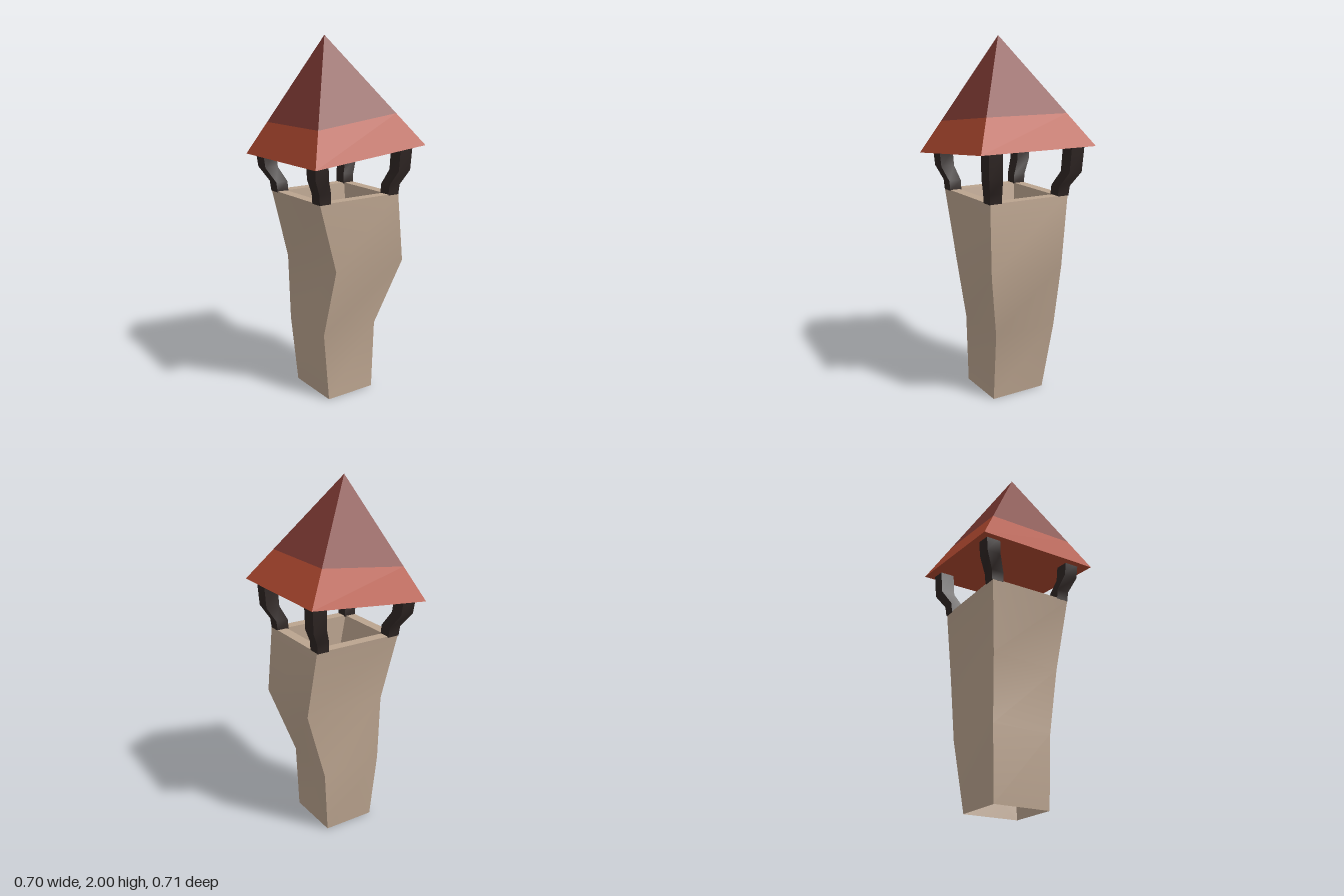
import * as THREE from 'three';

const mat = (name, color, side = THREE.FrontSide) => {
  const m = new THREE.MeshStandardMaterial({ color, side });
  m.name = name;
  return m;
};

// Joins four-cornered rings (front left, front right, back right, back left).
// Each side has its own vertices: smooth along the height, sharp at the corners.
function loft(rings, capStart = false, capEnd = false) {
  const pos = [], index = [];
  const quad = (a, b, c, d) => index.push(a, b, c, a, c, d);
  for (let s = 0; s < 4; s++) {
    const base = pos.length / 3;
    rings.forEach(r => pos.push(...r[s], ...r[(s + 1) % 4]));
    for (let i = 0; i < rings.length - 1; i++) {
      const k = base + i * 2;
      quad(k, k + 1, k + 3, k + 2);
    }
  }
  const cap = ring => {
    const k = pos.length / 3;
    ring.forEach(p => pos.push(...p));
    quad(k, k + 1, k + 2, k + 3);
  };
  if (capStart) cap([...rings[0]].reverse());
  if (capEnd) cap(rings[rings.length - 1]);
  const g = new THREE.BufferGeometry();
  g.setAttribute('position', new THREE.Float32BufferAttribute(pos, 3));
  g.setIndex(index);
  g.computeVertexNormals();
  return g;
}

const level = (y, corners) => corners.map(([x, z]) => [x, y, z]);
const rect = (y, x0, x1, z0, z1) => level(y, [[x0, z1], [x1, z1], [x1, z0], [x0, z0]]);

export function createModel() {
  const model = new THREE.Group();
  model.name = 'chimney';
  const stone = mat('stone', 0xbba48f, THREE.DoubleSide);
  const iron = mat('darkIron', 0x2e2523);
  const red = mat('roofRed', 0xb04930);
  const maroon = mat('roofMaroon', 0x803b34);
  const add = (name, geometry, material, parent = model) => {
    const m = new THREE.Mesh(geometry, material);
    m.name = name;
    parent.add(m);
  };

  // Crooked stack, open at the bottom
  const top = rect(1.155, -0.24, 0.245, -0.26, 0.26);
  add('stack', loft([
    rect(0, -0.16, 0.165, -0.15, 0.15),
    level(0.39, [[-0.185, 0.18], [0.16, 0.18], [0.16, -0.17], [-0.205, -0.195]]),
    level(0.77, [[-0.19, 0.19], [0.235, 0.15], [0.255, -0.29], [-0.185, -0.29]]),
    top,
  ]), stone);

  // Flat rim and the inner walls of the flue
  const mouth = rect(1.155, -0.18, 0.185, -0.2, 0.2);
  add('rim', loft([top, mouth]), stone);
  add('flue', loft([mouth, rect(0.85, -0.15, 0.185, -0.2, 0.14)]), stone);

  // Bent corner posts: height, outward lean in x and z, half width
  const posts = new THREE.Group();
  posts.name = 'posts';
  model.add(posts);
  const lean = [
    { name: 'frontLeftwardPost', sx: -1, sz: 1, dx: 0.062, dz: 0.05 },
    { name: 'frontRightwardPost', sx: 1, sz: 1, dx: 0.035, dz: 0.05 },
    { name: 'backRightwardPost', sx: 1, sz: -1, dx: 0.035, dz: 0.055 },
    { name: 'backLeftwardPost', sx: -1, sz: -1, dx: 0.05, dz: 0.055 },
  ];
  for (const { name, sx, sz, dx, dz } of lean) {
    const end = sz > 0 ? 1.375 : 1.435;
    const steps = [[1.15, 0, 0.035], [1.205, 0.08, 0.036], [1.285, 0.85, 0.04], [end, 1, 0.041]];
    const rings = steps.map(([y, t, h]) => {
      const x = sx * (0.21 + dx * t), z = sz * (0.225 + dz * t);
      return rect(y, x - h, x + h, z - h, z + h);
    });
    add(name, loft(rings, true, true).toNonIndexed(), iron, posts);
  }

  // Tilted pyramid roof: red eaves band below, maroon above
  const apex = [0.005, 2, 0.065];
  const eaves = [[-0.35, 1.355, 0.355], [0.35, 1.355, 0.355], [0.35, 1.425, -0.355], [-0.35, 1.425, -0.355]];
  const bands = [0.28, 0.28, 0.295, 0.295];
  const split = eaves.map((p, s) => p.map((v, i) => v + (apex[i] - v) * bands[s]));
  add('roofEaves', loft([eaves, split], true), red);
  add('roofTop', loft([split, [apex, apex, apex, apex]]), maroon);
  return model;
}
